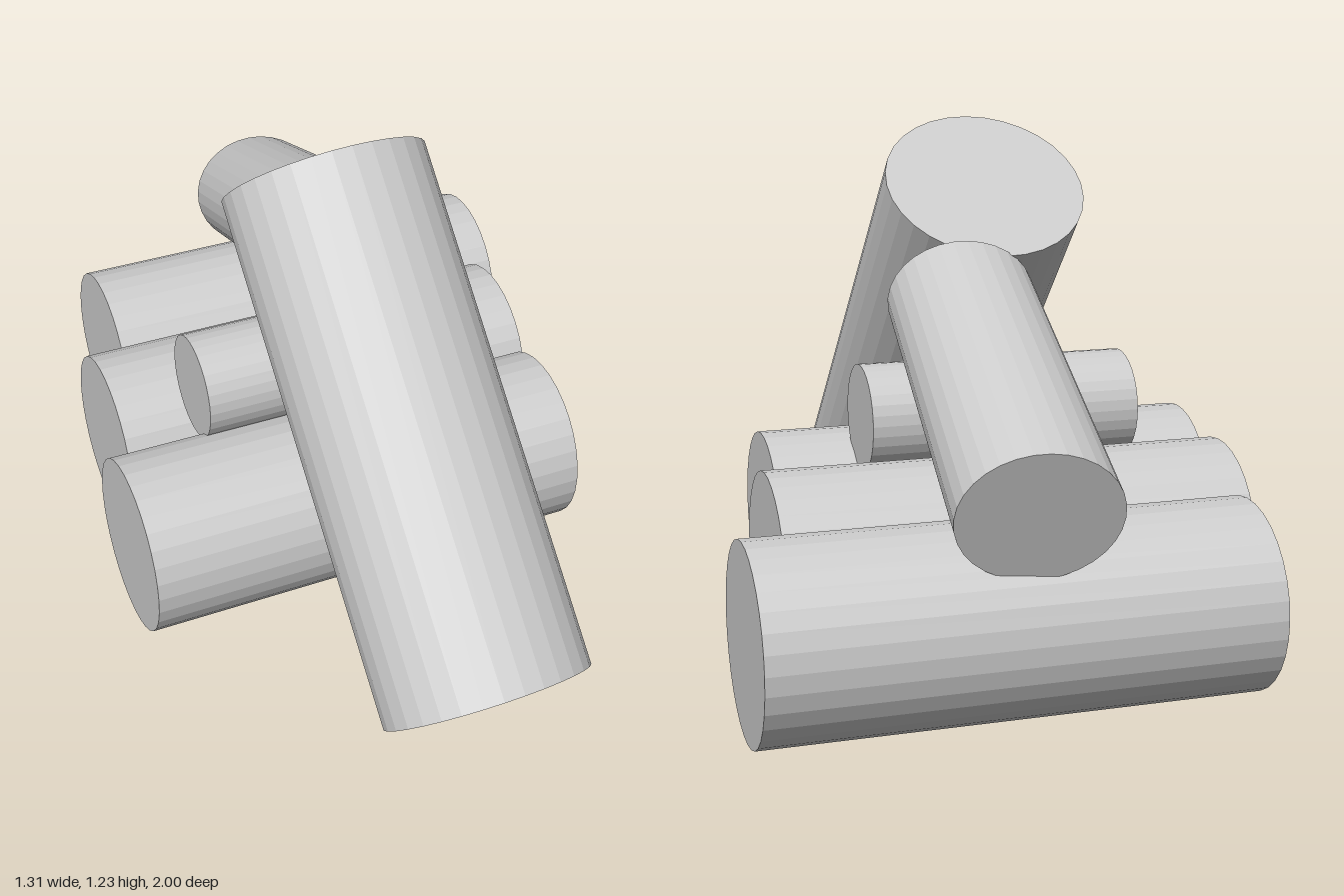
import * as THREE from 'three';

const material = new THREE.MeshStandardMaterial({ color: 0xcccccc, flatShading: true });

// A log between two end centres, with an oval section (width x depth radii).
function makeLog(name, from, to, width, depth = width) {
  const a = new THREE.Vector3(...from), b = new THREE.Vector3(...to);
  const axis = b.clone().sub(a);
  const length = axis.length();
  axis.normalize();
  const side = Math.abs(axis.x) > 0.9 ? new THREE.Vector3(0, 0, 1) : new THREE.Vector3(1, 0, 0);
  side.addScaledVector(axis, -side.dot(axis)).normalize();
  const basis = new THREE.Matrix4().makeBasis(side, axis, side.clone().cross(axis));
  const geometry = new THREE.CylinderGeometry(1, 1, 1, 32).scale(width, length, depth);
  const mesh = new THREE.Mesh(geometry, material);
  mesh.name = name;
  mesh.quaternion.setFromRotationMatrix(basis);
  mesh.position.copy(a).add(b).multiplyScalar(0.5);
  return mesh;
}

export function createModel() {
  const group = new THREE.Group();
  group.name = 'logPile';
  group.add(
    // Row of logs lying side by side
    makeLog('frontBaseLog', [-0.655, 0.265, 0.123], [0.448, 0.254, 0.123], 0.213),
    makeLog('middleBaseLog', [-0.58, 0.264, -0.299], [0.522, 0.253, -0.299], 0.213),
    makeLog('backBaseLog', [-0.453, 0.228, -0.725], [0.652, 0.215, -0.725], 0.213),
    // Thin log resting on the row
    makeLog('smallTopLog', [-0.415, 0.537, -0.063], [0.245, 0.53, -0.063], 0.128),
    // Logs leaning on the pile
    makeLog('leaningFrontLog', [-0.06, 0.178, 0.836], [-0.08, 1.075, -0.022], 0.246, 0.226),
    makeLog('leaningBackLog', [0.013, 0.815, -0.123], [0.098, 0.488, -0.941], 0.175, 0.153),
  );
  return group;
}
